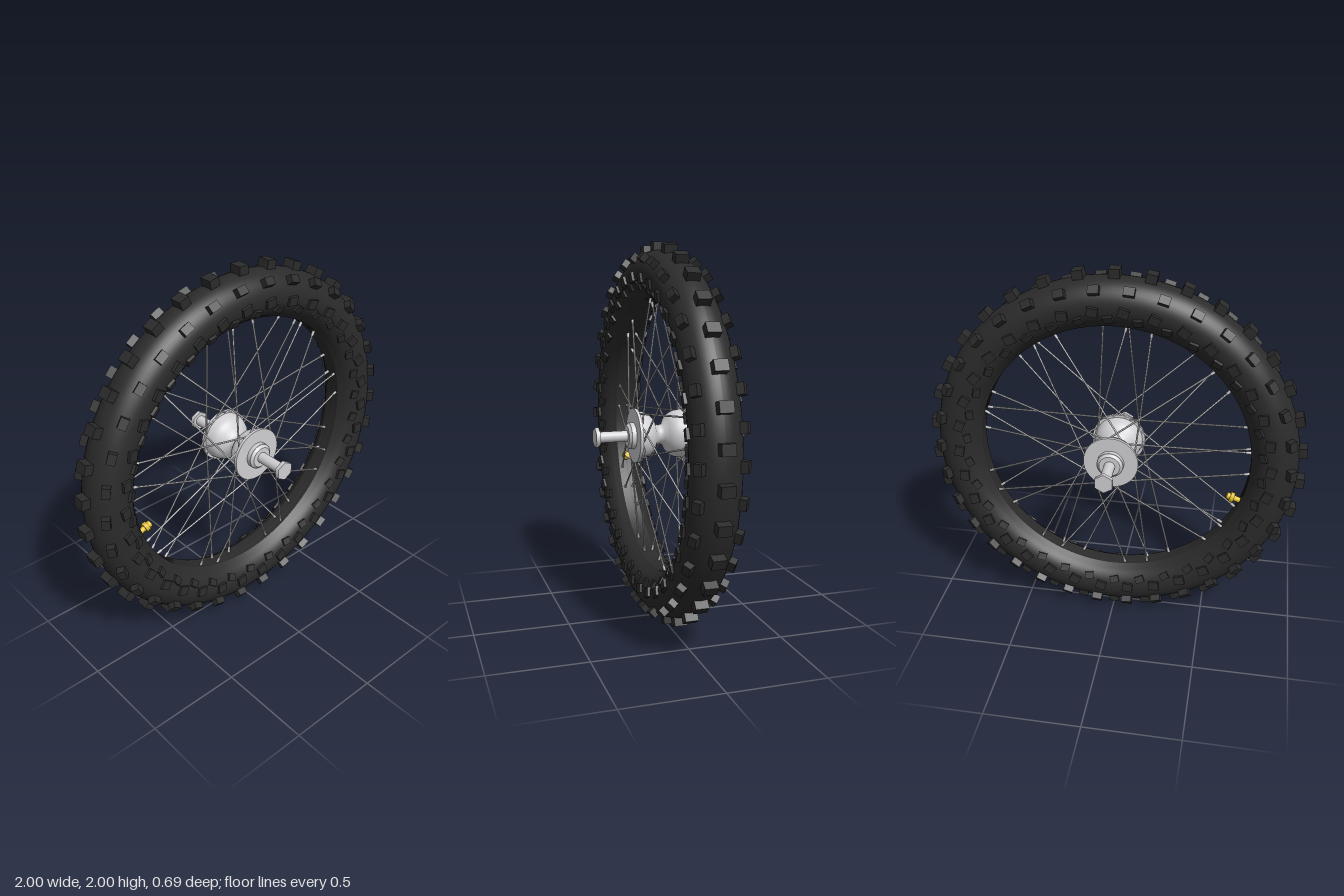
import * as THREE from 'three';
import { mergeGeometries } from 'three/addons/utils/BufferGeometryUtils.js';

const material = (name, color) => {
  const m = new THREE.MeshStandardMaterial({ color });
  m.name = name;
  return m;
};
const V = (x, y, z) => new THREE.Vector3(x, y, z);
const RAD = Math.PI / 180;

export function createModel() {
  const rubber = material('black rubber', 0x2b2b2b);
  const metal = material('light metal', 0xd0d0d3);
  const steel = material('spoke steel', 0xc0c0c3);
  const brass = material('valve brass', 0xe0bc20);

  const wheel = new THREE.Group();
  wheel.name = 'wheel';
  wheel.position.y = 1;
  const add = (name, geometry, mat) => {
    const mesh = new THREE.Mesh(geometry, mat);
    mesh.name = name;
    wheel.add(mesh);
    return mesh;
  };
  // Revolve a [radius, z] profile around the axle
  const lathe = (points, segments = 96) =>
    new THREE.LatheGeometry(points.map(([r, z]) => new THREE.Vector2(r, z)), segments).rotateX(Math.PI / 2);
  // Cylinder along z between two depths, optionally tapered
  const disc = (r, z0, z1, sides = 40, rEnd = r) =>
    new THREE.CylinderGeometry(rEnd, r, z1 - z0, sides).rotateX(Math.PI / 2).translate(0, 0, (z0 + z1) / 2);
  // Thin rod between two points
  const rod = (a, b, r, sides = 6) => {
    const d = b.clone().sub(a);
    const g = new THREE.CylinderGeometry(r, r, d.length(), sides);
    g.applyQuaternion(new THREE.Quaternion().setFromUnitVectors(V(0, 1, 0), d.normalize()));
    const c = a.clone().add(b).multiplyScalar(0.5);
    return g.translate(c.x, c.y, c.z);
  };

  // Tyre: round section, closed on the inside by the rim band
  const core = 0.838, section = 0.122;
  const profile = [];
  for (let i = 0; i <= 40; i++) {
    const a = i / 40 * Math.PI * 2;
    profile.push([core + section * Math.cos(a), section * Math.sin(a)]);
  }
  add('tyre', lathe(profile, 128), rubber);
  add('rim', mergeGeometries([
    lathe([[0.717, 0.04], [0.717, -0.04]], 128),
    lathe([[0.717, -0.04], [0.737, -0.07]], 128),
    lathe([[0.737, 0.07], [0.717, 0.04]], 128),
  ]), rubber);

  // Tread: rows of blocks placed by tilt from the crown around the section
  const rows = [
    { name: 'crownKnobs', tilt: 0, size: [0.055, 0.06, 0.068], top: 0.162, shift: 0, twist: 0 },
    { name: 'shoulderKnobs', tilt: 52, size: [0.055, 0.05, 0.042], top: 0.155, shift: 0.5, twist: 0 },
    { name: 'sideKnobs', tilt: 98, size: [0.055, 0.04, 0.048], top: 0.135, shift: 0.4, twist: 12 },
    { name: 'innerKnobs', tilt: 118, size: [0.048, 0.04, 0.038], top: 0.135, shift: 0.9, twist: -15 },
  ];
  const count = 34;
  for (const { name, tilt, size, top, shift, twist } of rows) {
    const blocks = [];
    for (const side of tilt ? [1, -1] : [1]) {
      for (let i = 0; i < count; i++) {
        blocks.push(new THREE.BoxGeometry(...size)
          .translate(0, top - size[1] / 2, 0)
          .rotateY(side * twist * RAD)
          .rotateX(side * tilt * RAD)
          .translate(0, core, 0)
          .rotateZ((i + shift) / count * Math.PI * 2));
      }
    }
    add(name, mergeGeometries(blocks), rubber);
  }

  // Hub: two bells meeting at a narrow waist, capped by flat flanges
  const bell = [[0.05, 0], [0.056, 0.02], [0.09, 0.038], [0.112, 0.06], [0.124, 0.085], [0.13, 0.125]];
  const mirrored = bell.slice(1).reverse().map(([r, z]) => [r, -z]);
  add('hubBody', lathe([...mirrored, ...bell], 48), metal);
  for (const s of [1, -1]) {
    const end = s > 0 ? 'front' : 'rear';
    const place = (name, geometry) => {
      const mesh = add(end + name, geometry, metal);
      if (s < 0) mesh.rotation.y = Math.PI;
    };
    place('Flange', disc(0.144, 0.122, 0.138, 48));
    place('BearingCap', disc(0.07, 0.138, 0.162));
    place('Collar', disc(0.068, 0.162, 0.175, 40, 0.055));
    place('Axle', disc(0.029, 0.17, 0.33, 24));
    place('AxleNut', disc(0.052, 0.325, 0.347, 6));
  }

  // Crossed spokes: nine groups of two pairs, one pair on each flange
  const spokes = [], nipples = [];
  const pattern = [[85, -50, 1], [95, 50, 1], [95, -50, -1], [105, 50, -1]];
  for (let k = 0; k < 9; k++) {
    for (const [angle, lean, side] of pattern) {
      const outer = (angle + 40 * k) * RAD, inner = outer + lean * RAD;
      const a = V(0.722 * Math.cos(outer), 0.722 * Math.sin(outer), side * 0.022);
      const b = V(0.136 * Math.cos(inner), 0.136 * Math.sin(inner), side * 0.122);
      spokes.push(rod(a, b, 0.0048));
      nipples.push(rod(a, a.clone().lerp(b, 0.05), 0.008));
    }
  }
  add('spokes', mergeGeometries(spokes), steel);
  add('spokeNipples', mergeGeometries(nipples), steel);

  // Valve: stem, hexagonal nut and cap pointing at the axle
  const at = r => V(r * Math.cos(200 * RAD), r * Math.sin(200 * RAD), 0);
  add('valveStem', rod(at(0.735), at(0.65), 0.015, 16), brass);
  add('valveNut', rod(at(0.682), at(0.66), 0.027, 6), brass);
  add('valveCap', rod(at(0.66), at(0.642), 0.018, 16), brass);

  const model = new THREE.Group();
  model.name = 'spokedWheel';
  model.add(wheel);
  return model;
}
